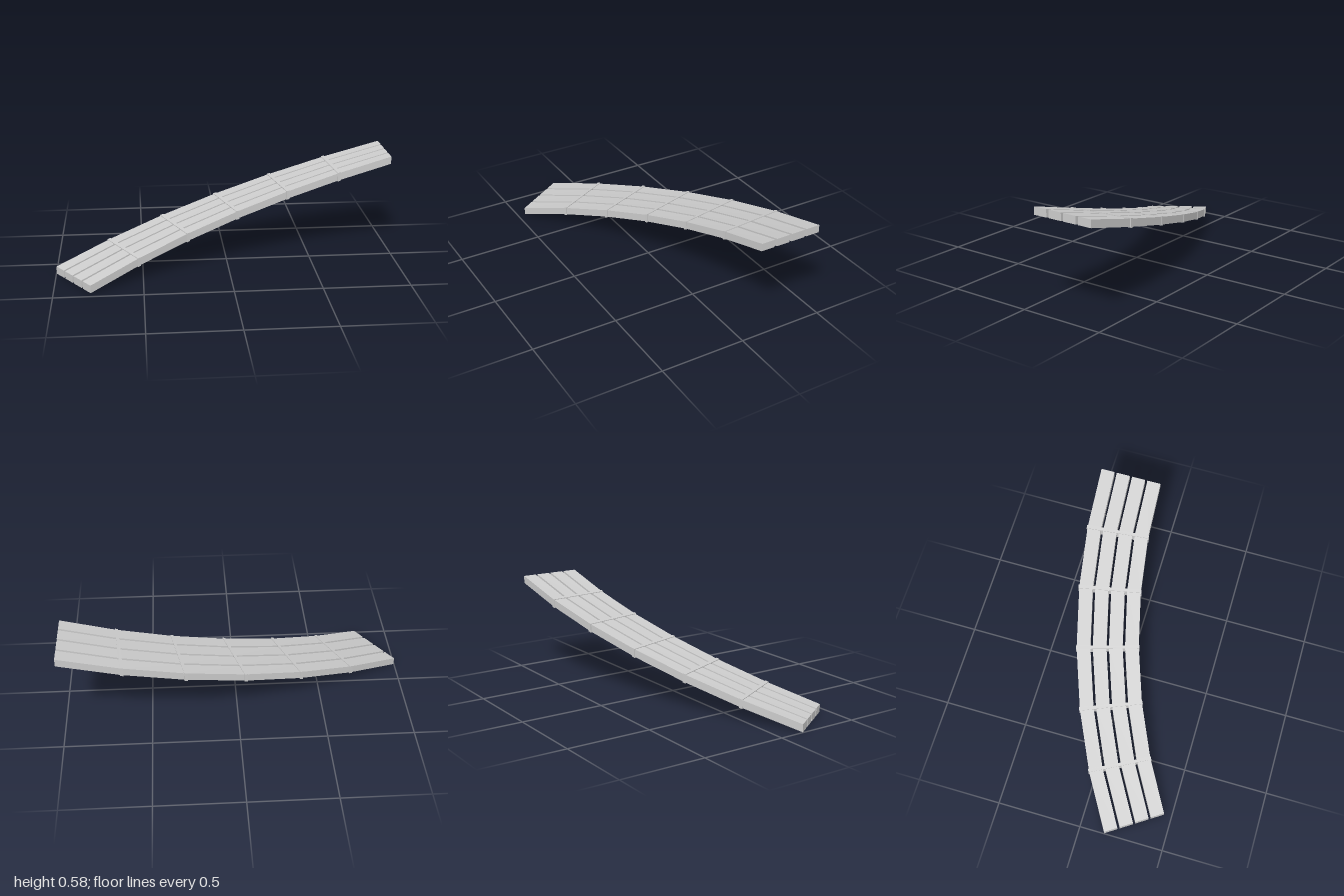
import * as THREE from 'three';

const STEPS = 6;                                   // straight segments along the curve
const SWEEP = THREE.MathUtils.degToRad(33.7);
const R_IN = 3.233, R_OUT = 3.6, CENTRE_Z = 3.143; // bend of the walkway in plan
const RISE = 0.09, THICK = 0.045;                  // climb per segment, board thickness

const material = new THREE.MeshStandardMaterial({ color: 0xcccccc, flatShading: true });

// Box bent along the climbing arc: t = position in segments, r = radius, y = height above the slope
function bentBox(name, t0, t1, r0, r1, y0, y1, segments) {
  const geometry = new THREE.BoxGeometry(1, 1, 1, segments, 1, 1);
  const p = geometry.attributes.position;
  for (let i = 0; i < p.count; i++) {
    const t = THREE.MathUtils.lerp(t0, t1, p.getX(i) + 0.5);
    const y = THREE.MathUtils.lerp(y0, y1, p.getY(i) + 0.5);
    const r = THREE.MathUtils.lerp(r1, r0, p.getZ(i) + 0.5);
    const a = (1 - t / STEPS) * SWEEP;
    p.setXYZ(i, 1 - r * Math.sin(a), t * RISE + y, CENTRE_Z - r * Math.cos(a));
  }
  geometry.computeVertexNormals();
  const mesh = new THREE.Mesh(geometry, material);
  mesh.name = name;
  return mesh;
}

export function createModel() {
  const model = new THREE.Group();
  model.name = 'curvedRamp';

  // Four long boards side by side with narrow gaps
  const boards = new THREE.Group();
  boards.name = 'boards';
  const count = 4, width = 0.081;
  const pitch = (R_OUT - R_IN - width) / (count - 1);
  for (let i = 0; i < count; i++) {
    const r = R_IN + i * pitch;
    boards.add(bentBox(`board${i + 1}`, 0, STEPS, r, r + width, 0, THICK, STEPS));
  }

  // Thin bands wrapped around the boards at every joint
  const bands = new THREE.Group();
  bands.name = 'bands';
  const half = 0.027, lip = 0.004;
  for (let t = 1; t < STEPS; t++) {
    bands.add(bentBox(`band${t}`, t - half, t + half, R_IN - lip, R_OUT + lip, -lip, THICK + lip, 1));
  }

  model.add(boards, bands);
  return model;
}
